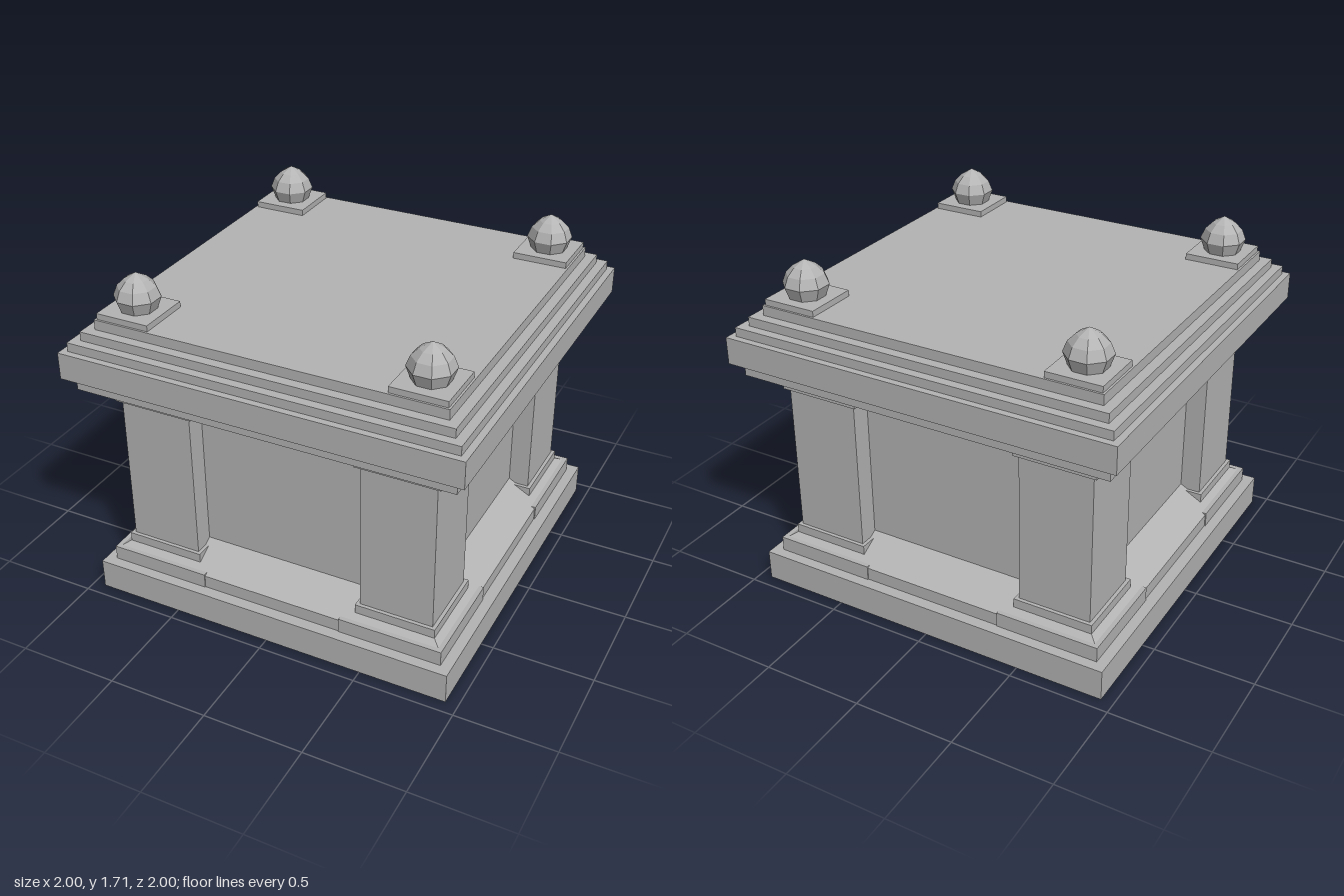
import * as THREE from 'three';

const stone = new THREE.MeshStandardMaterial({ color: 0xb4b4b4, flatShading: true });
stone.name = 'grey stone';

// Square block or frustum: half widths at bottom and top, from y0 to y1
function block(name, halfBottom, halfTop, y0, y1, x = 0, z = 0) {
  const g = new THREE.CylinderGeometry(halfTop * Math.SQRT2, halfBottom * Math.SQRT2, y1 - y0, 4);
  g.rotateY(Math.PI / 4);
  const mesh = new THREE.Mesh(g, stone);
  mesh.name = name;
  mesh.position.set(x, (y0 + y1) / 2, z);
  return mesh;
}

// Eight-sided pointed finial with flats facing the axes
function finial(x, z) {
  const profile = [[0.089, 0], [0.111, 0.06], [0.091, 0.11], [0.056, 0.145], [0, 0.177]]
    .map(([r, y]) => new THREE.Vector2(r, y));
  const mesh = new THREE.Mesh(new THREE.LatheGeometry(profile, 8, Math.PI / 8), stone);
  mesh.name = 'finial';
  mesh.position.set(x, 1.535, z);
  return mesh;
}

export function createModel() {
  const model = new THREE.Group();
  model.name = 'stone monument';

  // Base slab and the walled core, with sloped skirting and bevelled top
  model.add(
    block('baseSlab', 0.938, 0.938, 0, 0.155),
    block('coreStep', 0.88, 0.88, 0.155, 0.22),
    block('coreSkirting', 0.88, 0.705, 0.22, 0.315),
    block('coreWalls', 0.705, 0.705, 0.315, 1.065),
    block('coreTop', 0.705, 0.6, 1.065, 1.13)
  );

  // Stepped cornice and roof
  const roof = new THREE.Group();
  roof.name = 'roof';
  [
    ['corniceSoffit', 0.95, 1.16, 1.23],
    ['cornice', 1, 1.23, 1.365],
    ['lowerRoofStep', 0.967, 1.365, 1.41],
    ['middleRoofStep', 0.922, 1.41, 1.455],
    ['roofTop', 0.873, 1.455, 1.505]
  ].forEach(([name, h, y0, y1]) => roof.add(block(name, h, h, y0, y1)));
  model.add(roof);

  // Corner pillars with plinths, capitals and finials
  for (const sx of [-1, 1]) {
    for (const sz of [-1, 1]) {
      const pillar = new THREE.Group();
      pillar.name = 'cornerPillar';
      const x = sx * 0.625, z = sz * 0.625;
      [
        ['plinth', 0.26, 0.155, 0.23],
        ['pillarFoot', 0.202, 0.23, 0.295],
        ['pillarShaft', 0.184, 0.295, 1.065],
        ['capital', 0.206, 1.065, 1.14],
        ['capitalPlate', 0.23, 1.14, 1.16]
      ].forEach(([name, h, y0, y1]) => pillar.add(block(name, h, h, y0, y1, x, z)));
      const fx = sx * 0.727, fz = sz * 0.727;
      model.add(pillar, block('finialBase', 0.136, 0.136, 1.505, 1.535, fx, fz), finial(fx, fz));
    }
  }
  return model;
}
